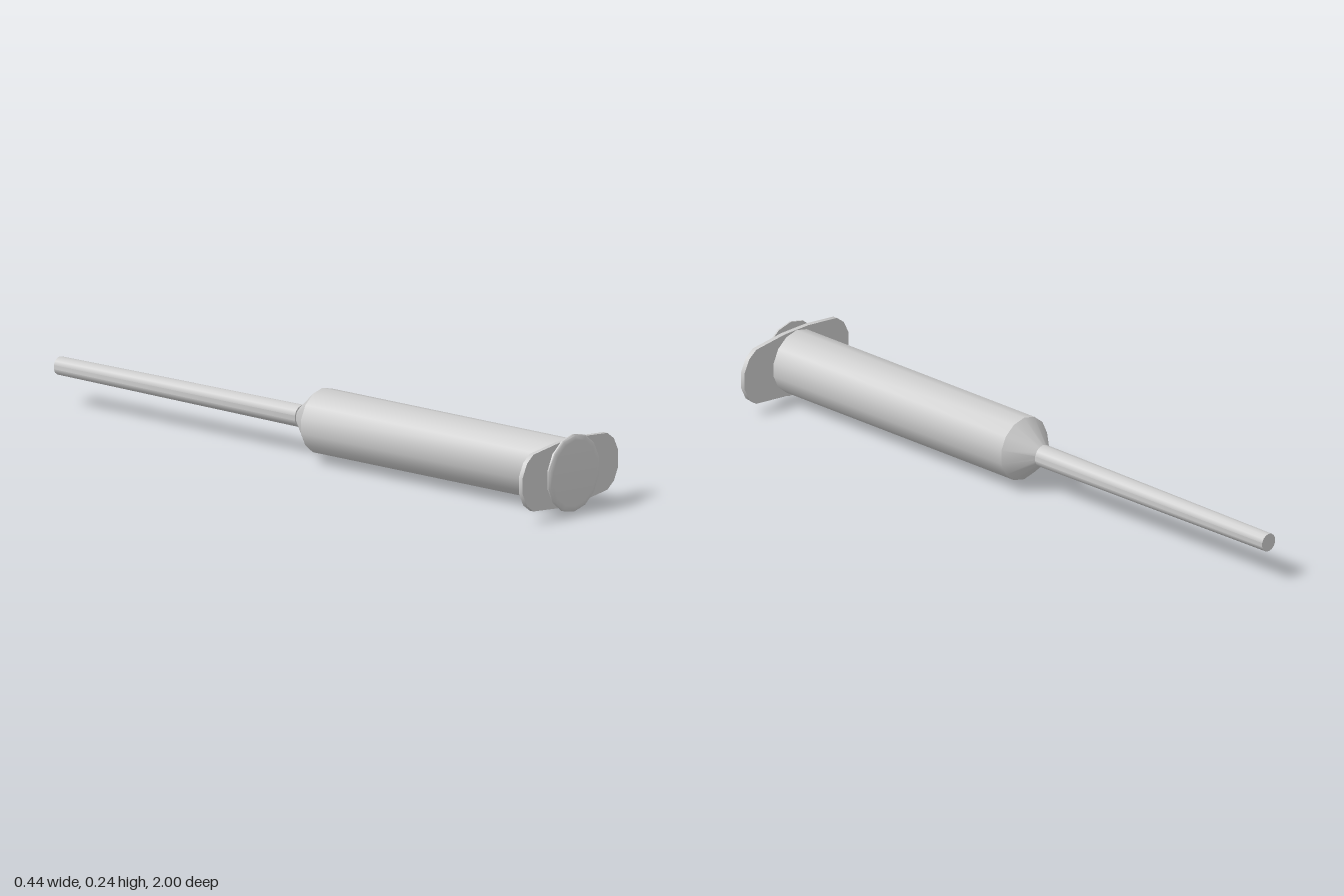
import * as THREE from 'three';
import { toCreasedNormals } from 'three/addons/utils/BufferGeometryUtils.js';

const AXIS_Y = 0.12;
const SIDES = 14;

export function createModel() {
  const model = new THREE.Group();
  model.name = 'syringe';
  const material = new THREE.MeshStandardMaterial({ color: 0xcccccc });

  const add = (name, geometry, crease = 0.6) => {
    const mesh = new THREE.Mesh(toCreasedNormals(geometry, crease), material);
    mesh.name = name;
    mesh.position.y = AXIS_Y;
    model.add(mesh);
  };

  // Turned part along z; profile is [radius, z] from back to front
  const turned = (name, profile, crease) => {
    const points = profile.map(([r, z]) => new THREE.Vector2(r, z));
    add(name, new THREE.LatheGeometry(points, SIDES).rotateX(Math.PI / 2), crease);
  };

  // Barrel with conical nose
  turned('barrel', [[0, -0.065], [0.025, -0.065], [0.099, 0.018], [0.099, 0.97], [0, 0.97]]);

  // Long, slightly tapered nozzle
  turned('nozzle', [[0, -1], [0.028, -1], [0.034, -0.06], [0, -0.06]]);

  // Plunger rod showing between flange and thumb rest
  turned('plungerRod', [[0, 0.9], [0.06, 0.9], [0.06, 0.992], [0, 0.992]]);

  // Thumb rest with softened front rim
  turned('thumbRest', [[0, 0.989], [0.119, 0.989], [0.119, 0.994], [0.114, 0.998], [0.102, 1], [0, 1]], 0.9);

  // Finger flange: one quarter outline mirrored to all four corners
  const quarter = [[0.22, 0.025], [0.2, 0.065], [0.17, 0.087], [0.05, 0.1]];
  const upper = [...quarter, ...quarter.map(([x, y]) => [-x, y]).reverse()];
  const outline = [...upper, ...upper.map(([x, y]) => [-x, -y])];
  const shape = new THREE.Shape(outline.map(([x, y]) => new THREE.Vector2(x, y)));
  const flange = new THREE.ExtrudeGeometry(shape, { depth: 0.015, bevelEnabled: false });
  add('fingerFlange', flange.translate(0, 0, 0.966));

  return model;
}
